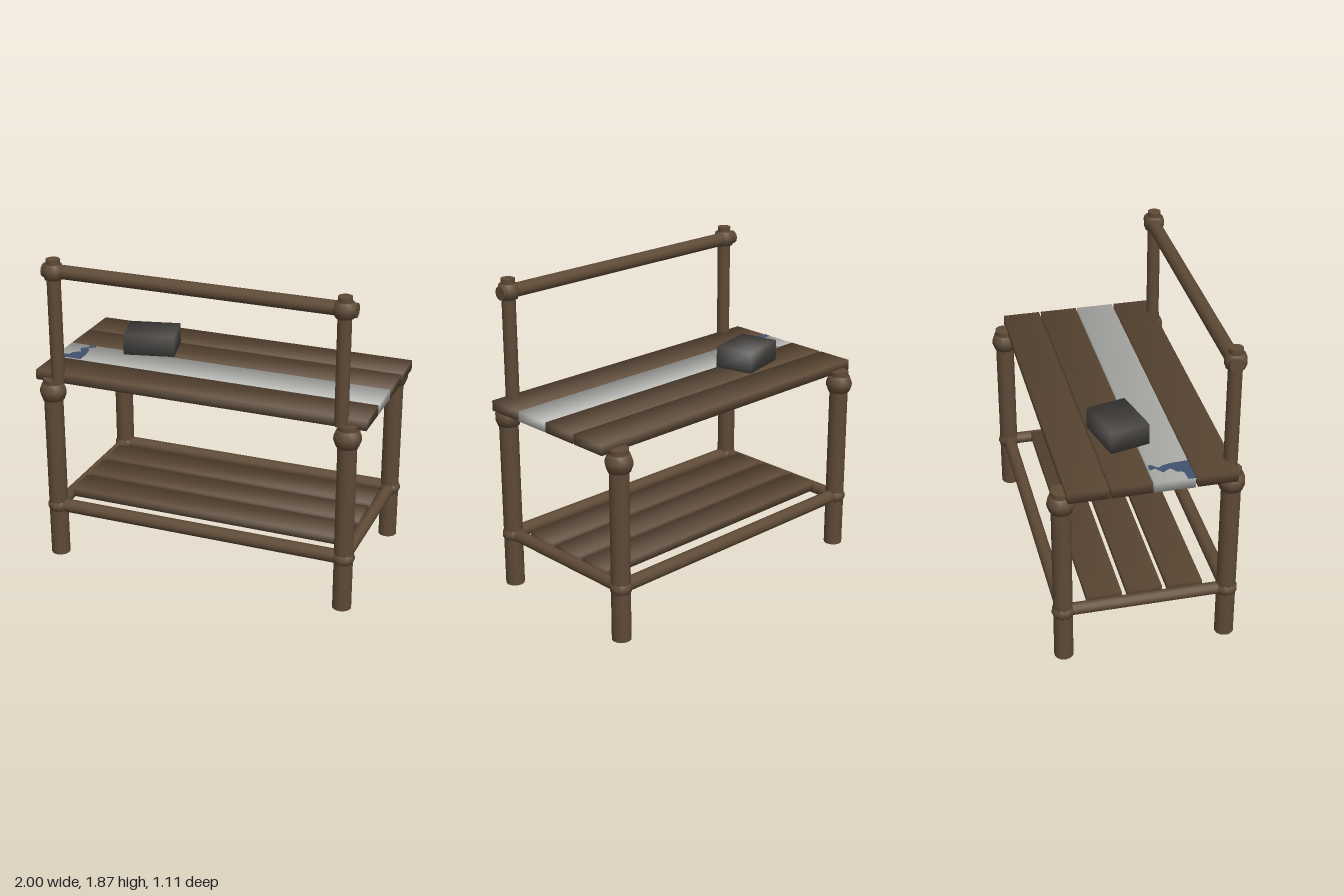
import * as THREE from 'three';

const material = (name, color) => {
  const m = new THREE.MeshStandardMaterial({ color });
  m.name = name;
  return m;
};

export function createModel() {
  const wood = material('brown wood', 0x5e4a36);
  const pale = material('pale paint', 0xb6b6b3);
  const blue = material('blue paint', 0x40506f);
  const stone = material('dark stone', 0x4a4744);
  const model = new THREE.Group();
  model.name = 'workbench';

  const add = (name, geometry, mat, x, y, z) => {
    const mesh = new THREE.Mesh(geometry, mat);
    mesh.name = name;
    mesh.position.set(x, y, z);
    model.add(mesh);
    return mesh;
  };

  // Box with softened normals, mostly rounded across its profile
  const softBox = (w, h, d, nx, ny = 1) => {
    const g = new THREE.BoxGeometry(w, h, d);
    const p = g.attributes.position;
    const n = new THREE.Vector3();
    for (let i = 0; i < p.count; i++) {
      n.set(nx * Math.sign(p.getX(i)), ny * Math.sign(p.getY(i)), Math.sign(p.getZ(i))).normalize();
      g.attributes.normal.setXYZ(i, n.x, n.y, n.z);
    }
    return g;
  };

  // Swollen ring that binds a joint
  const collar = (r, h) => new THREE.LatheGeometry([
    [r * 0.5, -h / 2], [r * 0.82, -h * 0.45], [r, -h * 0.1], [r, h * 0.1], [r * 0.82, h * 0.45], [r * 0.5, h / 2],
  ].map(([a, b]) => new THREE.Vector2(a, b)), 10);

  const pole = (r, length) => new THREE.CylinderGeometry(r, r, length, 12);

  // Legs with their upper and lower collars
  for (const x of [-0.895, 0.895]) {
    for (const z of [-0.475, 0.475]) {
      add('leg', pole(0.056, 1.14), wood, x, 0.57, z);
      add('legCollar', collar(0.078, 0.11), wood, x, 1.06, z);
      add('lowerCollar', collar(0.065, 0.08), wood, x, 0.32, z);
    }
    // Side rail and upright post
    add('sideRail', pole(0.036, 0.95), wood, x, 0.318, 0).rotation.x = Math.PI / 2;
    const postX = Math.sign(x) * 0.857;
    add('post', pole(0.04, 0.74), wood, postX, 1.5, 0.477);
    add('postCollar', collar(0.064, 0.095), wood, postX, 1.795, 0.477);
  }

  // Long lower rails and the top rail
  for (const z of [-0.475, 0.475]) {
    add('lowerRail', pole(0.04, 1.79), wood, 0, 0.32, z).rotation.z = Math.PI / 2;
  }
  add('topRail', pole(0.041, 1.845), wood, 0, 1.795, 0.467).rotation.z = Math.PI / 2;

  // Table top planks, one painted
  [0.368, 0.13, -0.107, -0.345].forEach((z, i) => {
    add('topPlank', softBox(2, 0.06, 0.226, 0.25), i === 1 ? pale : wood, 0, 1.15, z);
  });

  // Lower shelf planks
  for (const z of [0.24, 0.005, -0.23]) {
    add('shelfPlank', softBox(1.74, 0.05, 0.2, 0.25), wood, 0, 0.34, z);
  }

  // Ragged blue paint patch on both faces of the pale plank
  const patch = new THREE.Shape([
    [-0.88, 0.018], [-0.835, 0.018], [-0.83, 0.035], [-0.865, 0.07], [-0.845, 0.1], [-0.835, 0.15],
    [-0.83, 0.242], [-1, 0.242], [-1, 0.2], [-0.93, 0.195], [-0.92, 0.16], [-0.88, 0.13], [-0.91, 0.085], [-0.865, 0.05],
  ].map(([x, z]) => new THREE.Vector2(x, -z)));
  const plate = new THREE.ExtrudeGeometry(patch, { depth: 0.004, bevelEnabled: false });
  plate.rotateX(-Math.PI / 2);
  add('paintPatchTop', plate, blue, 0, 1.178, 0);
  add('paintPatchBottom', plate, blue, 0, 1.118, 0);

  // Stone block on the table
  add('stoneBlock', softBox(0.305, 0.128, 0.236, 1), stone, -0.503, 1.243, -0.07).rotation.y = 0.235;

  return model;
}
